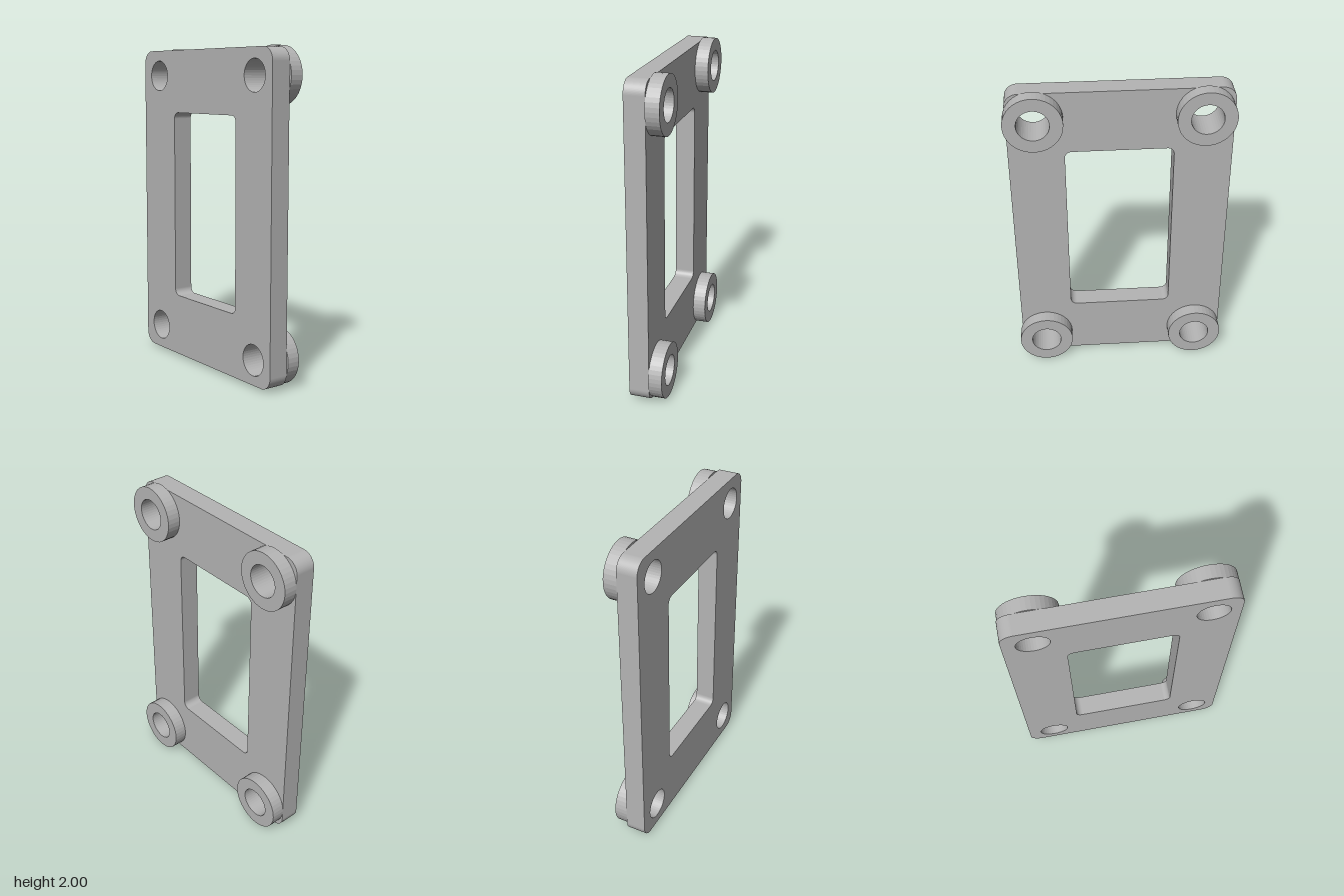
import * as THREE from 'three';

const HOLE_R = 0.095, BOSS_R = 0.172;
const BOSS_Z = 0.493, BOSS_Y = [0.175, 1.828];

// Adds a rounded rectangle outline to a shape or path
function roundedRect(path, x0, y0, x1, y1, r) {
  const q = Math.PI / 2;
  path.moveTo(x0 + r, y0);
  path.absarc(x1 - r, y0 + r, r, -q, 0);
  path.absarc(x1 - r, y1 - r, r, 0, q);
  path.absarc(x0 + r, y1 - r, r, q, 2 * q);
  path.absarc(x0 + r, y0 + r, r, 2 * q, 3 * q);
  path.closePath();
  return path;
}

const circle = (path, x, y, r) => path.absarc(x, y, r, 0, Math.PI * 2);

// Extrudes an outline drawn in (-z, y) along x, from x0 to x1
function slab(shape, x0, x1, curveSegments) {
  const geo = new THREE.ExtrudeGeometry(shape, { depth: x1 - x0, bevelEnabled: false, curveSegments });
  return geo.rotateY(Math.PI / 2).translate(x0, 0, 0);
}

export function createModel() {
  const group = new THREE.Group();
  group.name = 'mountingFrame';
  const grey = new THREE.MeshStandardMaterial({ color: 0xb4b4b4 });
  grey.name = 'grey';

  // Rounded plate with a window and four bolt holes
  const plate = roundedRect(new THREE.Shape(), -0.65, 0.022, 0.664, 1.987, 0.08);
  plate.holes.push(roundedRect(new THREE.Path(), -0.32, 0.413, 0.32, 1.597, 0.04));

  for (const y of BOSS_Y) {
    for (const side of [-1, 1]) {
      const u = side * BOSS_Z;
      plate.holes.push(circle(new THREE.Path(), u, y, HOLE_R));

      // Ring-shaped boss around the bolt hole
      const ring = circle(new THREE.Shape(), u, y, BOSS_R);
      ring.holes.push(circle(new THREE.Path(), u, y, HOLE_R));
      const boss = new THREE.Mesh(slab(ring, 0.02, 0.102, 20), grey);
      boss.name = (y < 1 ? 'lower' : 'upper') + (side < 0 ? 'Front' : 'Back') + 'Boss';
      group.add(boss);
    }
  }

  const plateMesh = new THREE.Mesh(slab(plate, -0.104, 0.02, 20), grey);
  plateMesh.name = 'framePlate';
  group.add(plateMesh);
  return group;
}
